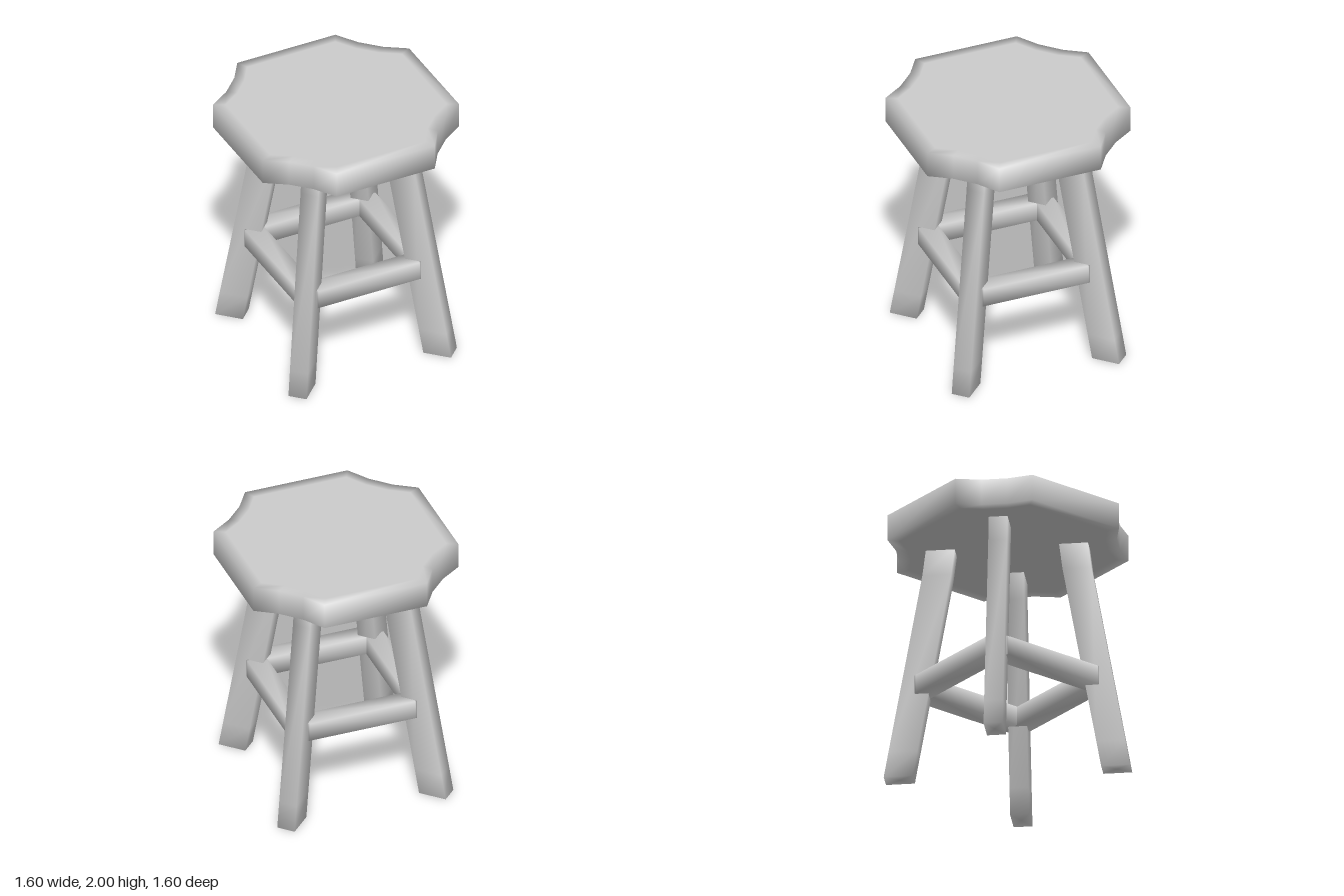
import * as THREE from 'three';

const material = new THREE.MeshStandardMaterial({ color: 0xcccccc });

// Smooth closed loft: each ring is { y, points: [[x, z], ...] }, counterclockwise seen from above
function loft(rings) {
  const n = rings[0].points.length;
  const pos = [];
  const index = [];
  for (const { y, points } of rings) for (const [x, z] of points) pos.push(x, y, z);
  for (let i = 0; i < rings.length - 1; i++) {
    for (let j = 0; j < n; j++) {
      const a = i * n + j, b = i * n + (j + 1) % n;
      index.push(a, b, b + n, a, b + n, a + n);
    }
  }
  // end caps as fans around a centre point
  for (const end of [0, rings.length - 1]) {
    const { y, points } = rings[end];
    const centre = pos.length / 3;
    const mean = (k) => points.reduce((s, p) => s + p[k], 0) / n;
    pos.push(mean(0), y, mean(1));
    for (let j = 0; j < n; j++) {
      const a = end * n + j, b = end * n + (j + 1) % n;
      if (end) index.push(centre, a, b);
      else index.push(centre, b, a);
    }
  }
  const g = new THREE.BufferGeometry();
  g.setAttribute('position', new THREE.Float32BufferAttribute(pos, 3));
  g.setIndex(index);
  g.computeVertexNormals();
  return g;
}

// Rectangle in xz centred at (cx, 0) with half sizes hx, hz
const rect = (cx, hx, hz) => [[cx + hx, hz], [cx + hx, -hz], [cx - hx, -hz], [cx - hx, hz]];

function addMesh(parent, geometry, name) {
  const mesh = new THREE.Mesh(geometry, material);
  mesh.name = name;
  parent.add(mesh);
  return mesh;
}

export function createModel() {
  const model = new THREE.Group();
  model.name = 'stool';

  // Seat: square slab with four hollowed corners
  const corner = [[0.8, -0.4], [0.64, -0.505], [0.505, -0.64], [0.4, -0.8]];
  const outline = [];
  for (let k = 0; k < 4; k++) {
    for (let [x, z] of corner) {
      for (let t = 0; t < k; t++) [x, z] = [z, -x];
      outline.push([x, z]);
    }
  }
  const scaled = (s) => outline.map(([x, z]) => [x * s, z * s]);
  addMesh(model, loft([
    { y: 1.8, points: scaled(0.9) },
    { y: 1.8, points: outline },
    { y: 2, points: outline },
    { y: 2, points: scaled(0.9) },
  ]), 'seat');

  // Legs: rectangular posts set on the diagonals and splayed outward
  const legPath = [[0, 0.797], [0.2, 0.762], [1.6, 0.514], [1.82, 0.486]];
  const legGeometry = loft(legPath.map(([y, r]) => ({ y, points: rect(r, 0.106, 0.069) })));
  const legNames = ['backLeftLeg', 'backRightLeg', 'frontRightLeg', 'frontLeftLeg'];
  legNames.forEach((name, k) => {
    addMesh(model, legGeometry, name).rotation.y = Math.PI / 4 + k * Math.PI / 2;
  });

  // Stretchers: four bars joining neighbouring legs
  const barGeometry = loft([-0.425, -0.412, 0.412, 0.425].map((y) => ({ y, points: rect(0, 0.0725, 0.0725) })));
  barGeometry.rotateZ(Math.PI / 2);
  barGeometry.translate(0, 0.7275, 0.46);
  ['frontStretcher', 'leftStretcher', 'backStretcher', 'rightStretcher'].forEach((name, k) => {
    addMesh(model, barGeometry, name).rotation.y = k * Math.PI / 2;
  });

  return model;
}
